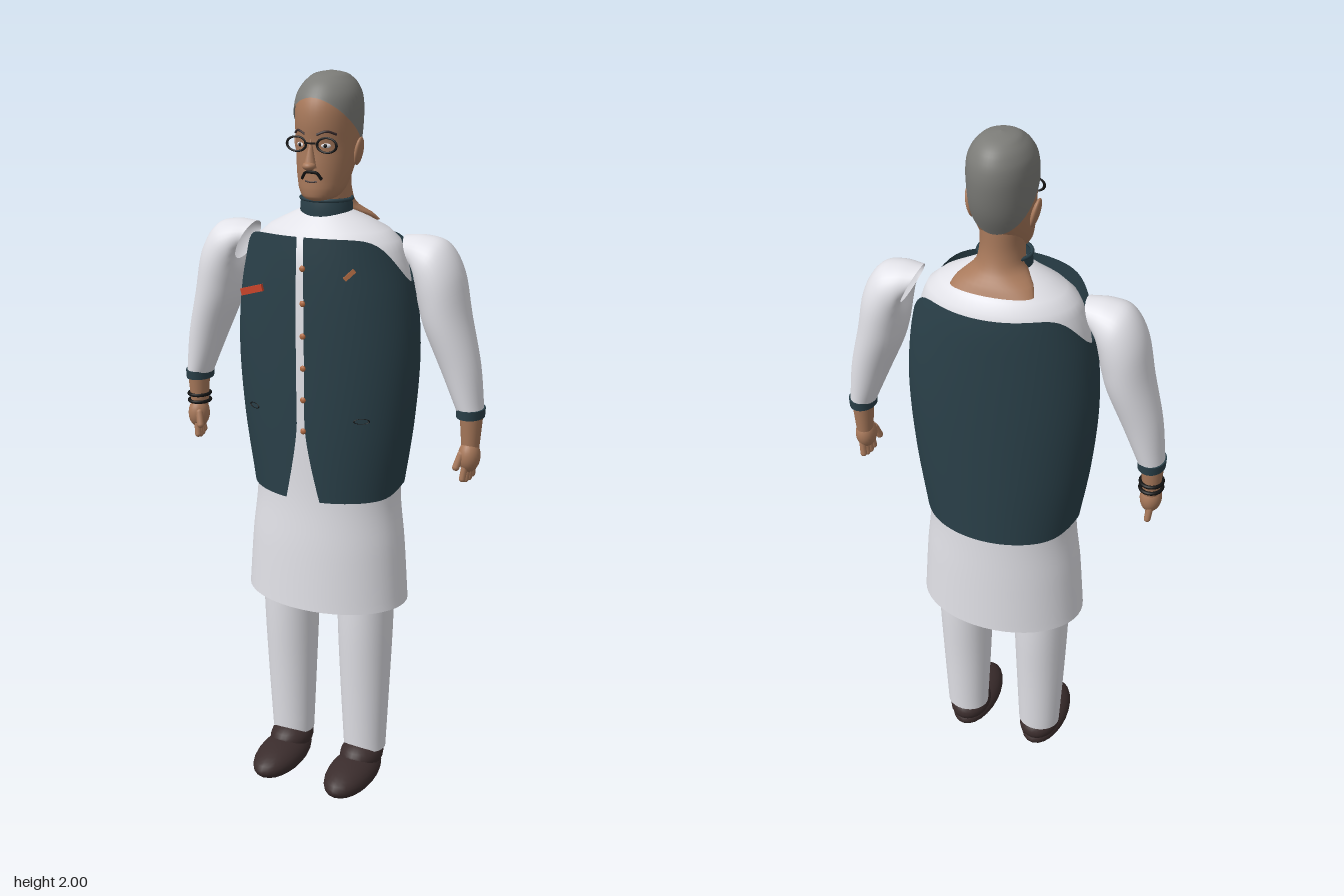
import * as THREE from 'three';

const mat = (name, color) => {
  const m = new THREE.MeshStandardMaterial({ color, side: THREE.DoubleSide });
  m.name = name;
  return m;
};
const lerp = THREE.MathUtils.lerp;

// Grid surface from a point rule; u runs round the part, v along it
function surface(fn, nu, nv, closed = true) {
  const pos = [], idx = [], cols = closed ? nu : nu + 1;
  for (let j = 0; j <= nv; j++) {
    for (let i = 0; i < cols; i++) pos.push(...fn(i / nu, j / nv));
  }
  for (let j = 0; j < nv; j++) {
    for (let i = 0; i < nu; i++) {
      const a = j * cols + i, b = j * cols + (i + 1) % cols;
      idx.push(a, b, a + cols, b, b + cols, a + cols);
    }
  }
  const g = new THREE.BufferGeometry();
  g.setAttribute('position', new THREE.Float32BufferAttribute(pos, 3));
  g.setIndex(idx);
  g.computeVertexNormals();
  return g;
}

// Smooth stack of ovals; rows are [y, half width, front z, back z]
function ovals(rows) {
  const it = new THREE.CubicInterpolant(rows.map(r => r[0]), rows.flatMap(r => r.slice(1)), 3);
  const at = (y, a, off = 0) => {
    const [rx, zf, zb] = it.evaluate(y);
    return [Math.max(0, rx + off) * Math.sin(a), y, (zf + zb) / 2 + ((zf - zb) / 2 + off) * Math.cos(a)];
  };
  at.low = rows[0][0];
  at.high = rows[rows.length - 1][0];
  return at;
}
const stack = (at, nu = 40, nv = 24) =>
  surface((u, v) => at(lerp(at.low, at.high, v), u * Math.PI * 2), nu, nv);

export function createModel() {
  const white = mat('white cloth', 0xe6e6ec), vestMat = mat('dark teal cloth', 0x2a4049);
  const skin = mat('skin', 0xa8795b), hairMat = mat('grey hair', 0x7c7c78);
  const leather = mat('dark brown leather', 0x3b2d2d), black = mat('black', 0x121212);
  const red = mat('red', 0xcc4429), copper = mat('copper', 0xb06a42);

  const model = new THREE.Group();
  model.name = 'standingMan';
  const add = (parent, name, geo, material, p = [0, 0, 0], s = [1, 1, 1], r = [0, 0, 0]) => {
    const m = new THREE.Mesh(geo, material);
    m.name = name;
    m.position.set(...p);
    m.scale.set(...s);
    m.rotation.set(...r);
    parent.add(m);
    return m;
  };
  const ball = new THREE.SphereGeometry(1, 24, 16);

  // Long tunic with sloping shoulders
  add(model, 'tunic', stack(ovals([
    [0.58, 0.235, 0.15, -0.18], [0.75, 0.222, 0.143, -0.176], [0.9, 0.207, 0.134, -0.172],
    [1.1, 0.23, 0.136, -0.173], [1.3, 0.243, 0.138, -0.174], [1.45, 0.231, 0.134, -0.17],
    [1.55, 0.209, 0.124, -0.162], [1.6, 0.18, 0.102, -0.145], [1.635, 0.115, 0.066, -0.1],
    [1.66, 0.062, 0.045, -0.06]]), 48, 44), white);

  // Sleeveless vest: open in front, arm holes dipping at the sides
  const vest = ovals([
    [0.9, 0.213, 0.142, -0.181], [1.1, 0.243, 0.148, -0.184], [1.3, 0.256, 0.15, -0.185],
    [1.45, 0.244, 0.15, -0.183], [1.55, 0.223, 0.148, -0.179], [1.61, 0.21, 0.145, -0.172]]);
  add(model, 'vest', surface((u, v) => {
    const a0 = u * Math.PI * 2, side = Math.abs(Math.sin(a0));
    const low = 0.9 + 0.025 * side ** 14;
    const high = 1.595 + 0.012 * Math.cos(a0) - 0.11 * side ** 10;
    const y = lerp(low, high, v);
    const gap = 0.045 + 0.19 * Math.max(0, (1.12 - y) / 0.22) ** 1.5;
    return vest(y, lerp(gap, Math.PI * 2 - gap, u));
  }, 72, 36, false), vestMat);

  // Standing collar
  add(model, 'collar', stack(ovals([
    [1.645, 0.07, 0.058, -0.066], [1.668, 0.069, 0.058, -0.066], [1.69, 0.066, 0.055, -0.064]]), 32, 4), vestMat);
  add(model, 'collarBand', new THREE.TorusGeometry(0.067, 0.005, 8, 32), vestMat,
    [0, 1.685, -0.004], [1, 0.9, 1], [Math.PI / 2, 0, 0]);

  // Buttons, pocket pieces
  for (const y of [1.53, 1.44, 1.355, 1.27, 1.185, 1.1]) {
    add(model, 'button', ball, copper, [0.011, y, 0.155], [0.008, 0.008, 0.005]);
  }
  add(model, 'pocketSquare', new THREE.BoxGeometry(0.064, 0.018, 0.009), red, [-0.143, 1.458, 0.14], [1, 1, 1], [0, 0, 0.28]);
  add(model, 'lapelPin', new THREE.BoxGeometry(0.034, 0.011, 0.008), copper, [0.13, 1.52, 0.129], [1, 1, 1], [0, 0.4, 0.75]);
  for (const s of [-1, 1]) {
    add(model, 'pocketSlit', new THREE.TorusGeometry(0.02, 0.002, 6, 24), black,
      [s * 0.158, 1.135, 0.11], [1, 0.35, 1], [0, s * 0.5, 0]);
  }

  // Head and neck
  const headAt = ovals([
    [1.684, 0.012, 0.06, 0.03], [1.69, 0.036, 0.076, -0.005], [1.705, 0.053, 0.083, -0.035],
    [1.74, 0.066, 0.084, -0.065], [1.78, 0.073, 0.084, -0.09], [1.82, 0.077, 0.082, -0.108],
    [1.88, 0.08, 0.088, -0.121], [1.92, 0.079, 0.083, -0.122], [1.95, 0.072, 0.068, -0.114],
    [1.98, 0.05, 0.035, -0.09], [1.992, 0.03, 0.005, -0.062], [1.997, 0, -0.03, -0.03]]);
  const head = new THREE.Group();
  head.name = 'head';
  model.add(head);
  add(head, 'face', surface((u, v) =>
    headAt(lerp(headAt.low, headAt.high, (1 - Math.cos(v * Math.PI)) / 2), u * Math.PI * 2), 40, 36), skin);
  add(head, 'hair', surface((u, v) => {
    const a = u * Math.PI * 2;
    const p = headAt(lerp(1.852 + 0.088 * Math.cos(a), 1.997, Math.sin(v * Math.PI / 2)), a, 0.004 * (1 - v ** 4));
    p[1] += 0.003 * v;
    return p;
  }, 48, 24), hairMat);
  add(head, 'neck', stack(ovals([
    [1.622, 0.108, -0.06, -0.132], [1.64, 0.098, -0.03, -0.122], [1.665, 0.066, 0.02, -0.102],
    [1.7, 0.056, 0.04, -0.088], [1.78, 0.056, 0.045, -0.082]]), 32, 16), skin);
  add(head, 'nose', new THREE.ConeGeometry(0.017, 0.075, 12), skin, [0, 1.808, 0.086], [1, 1, 1], [-0.1, 0, 0]);
  add(head, 'noseTip', ball, skin, [0, 1.776, 0.094], [0.017, 0.011, 0.017]);

  // Thin strokes that follow the face, given as [sideways angle, height]
  const stroke = (name, pts, r, m) => add(head, name, new THREE.TubeGeometry(
    new THREE.CatmullRomCurve3(pts.map(([a, y]) => new THREE.Vector3(...headAt(y, a, 0.001)))), 16, r, 6), m);
  stroke('moustache', [[-0.42, 1.742], [-0.22, 1.758], [0, 1.76], [0.22, 1.758], [0.42, 1.742]], 0.004, black);
  stroke('mouth', [[-0.25, 1.737], [0, 1.735], [0.25, 1.737]], 0.002, leather);
  for (const s of [-1, 1]) {
    stroke('eyebrow', [[s * 0.2, 1.852], [s * 0.5, 1.86], [s * 0.8, 1.852]], 0.003, leather);
    add(head, 'eye', ball, white, [s * 0.035, 1.825, 0.071], [0.013, 0.006, 0.004], [0, s * 0.4, 0]);
    add(head, 'pupil', ball, black, [s * 0.035, 1.825, 0.074], [0.005, 0.005, 0.003]);
    add(head, 'spectacleRim', new THREE.TorusGeometry(0.018, 0.0025, 6, 28), black, [s * 0.042, 1.827, 0.08], [1.5, 1, 1]);
    add(head, 'ear', ball, skin, [s * 0.083, 1.805, -0.02], [0.009, 0.037, 0.021], [0.15, 0, -s * 0.22]);
  }
  add(head, 'spectacleBridge', new THREE.BoxGeometry(0.03, 0.004, 0.004), black, [0, 1.831, 0.089]);

  // Sleeve rings: inner x, y, outer x, y, half depth
  const rings = [
    [0.27, 1.5, 0.217, 1.605, 0.055], [0.262, 1.475, 0.275, 1.608, 0.07], [0.262, 1.45, 0.33, 1.592, 0.08],
    [0.267, 1.42, 0.372, 1.525, 0.083], [0.282, 1.37, 0.397, 1.41, 0.077], [0.326, 1.27, 0.427, 1.285, 0.059],
    [0.372, 1.165, 0.441, 1.17, 0.044]];
  const ringAt = new THREE.CubicInterpolant(rings.map((_, i) => i), rings.flat(), 5);
  const sleeve = surface((u, v) => {
    const [ix, iy, ox, oy, d] = ringAt.evaluate(v * (rings.length - 1));
    const c = (1 + Math.cos(u * Math.PI * 2)) / 2;
    return [lerp(ix, ox, c), lerp(iy, oy, c), -0.02 + d * Math.sin(u * Math.PI * 2)];
  }, 32, 30);

  const legShape = stack(ovals([
    [0.1, 0.062, 0.035, -0.075], [0.3, 0.071, 0.05, -0.085], [0.5, 0.078, 0.064, -0.097], [0.75, 0.082, 0.07, -0.1]]), 28, 14);

  for (const s of [1, -1]) {
    const half = new THREE.Group();
    half.name = s > 0 ? 'leftLimbs' : 'rightLimbs';
    half.scale.x = s;
    model.add(half);

    // Arm, cuff and hand
    add(half, 'sleeve', sleeve, white);
    add(half, 'cuff', new THREE.CylinderGeometry(1, 0.97, 0.024, 28), vestMat, [0.408, 1.161, -0.02], [0.037, 1, 0.047]);
    add(half, 'wrist', new THREE.CylinderGeometry(0.03, 0.023, 0.09, 20), skin, [0.411, 1.108, -0.018], [1, 1, 1.1]);
    add(half, 'palm', ball, skin, [0.411, 1.043, -0.012], [0.029, 0.043, 0.034]);
    for (let i = 0; i < 4; i++) {
      add(half, 'finger', new THREE.CapsuleGeometry(0.009, 0.042, 4, 10), skin,
        [0.414 - 0.003 * i, 1.007 - 0.006 * Math.sin(i), -0.034 + i * 0.014], [1, 1, 1], [(1.5 - i) * 0.1, 0, -0.12]);
    }
    add(half, 'thumb', new THREE.CapsuleGeometry(0.01, 0.035, 4, 10), skin, [0.392, 1.035, 0.016], [1, 1, 1], [-0.3, 0, -0.25]);

    // Leg and slipper
    add(half, 'trouserLeg', legShape, white, [0.117, 0, 0]);
    add(half, 'shoe', ball, leather, [0.115, 0.046, 0.055], [0.067, 0.046, 0.134]);
    add(half, 'shoeUpper', ball, leather, [0.115, 0.078, -0.005], [0.06, 0.046, 0.078]);
  }

  // Bracelets on the right wrist
  for (const y of [1.1, 1.08]) {
    add(model, 'bracelet', new THREE.TorusGeometry(0.029, 0.005, 8, 24), black, [-0.411, y, -0.018], [1, 1.1, 1], [Math.PI / 2, 0, 0]);
  }
  return model;
}
